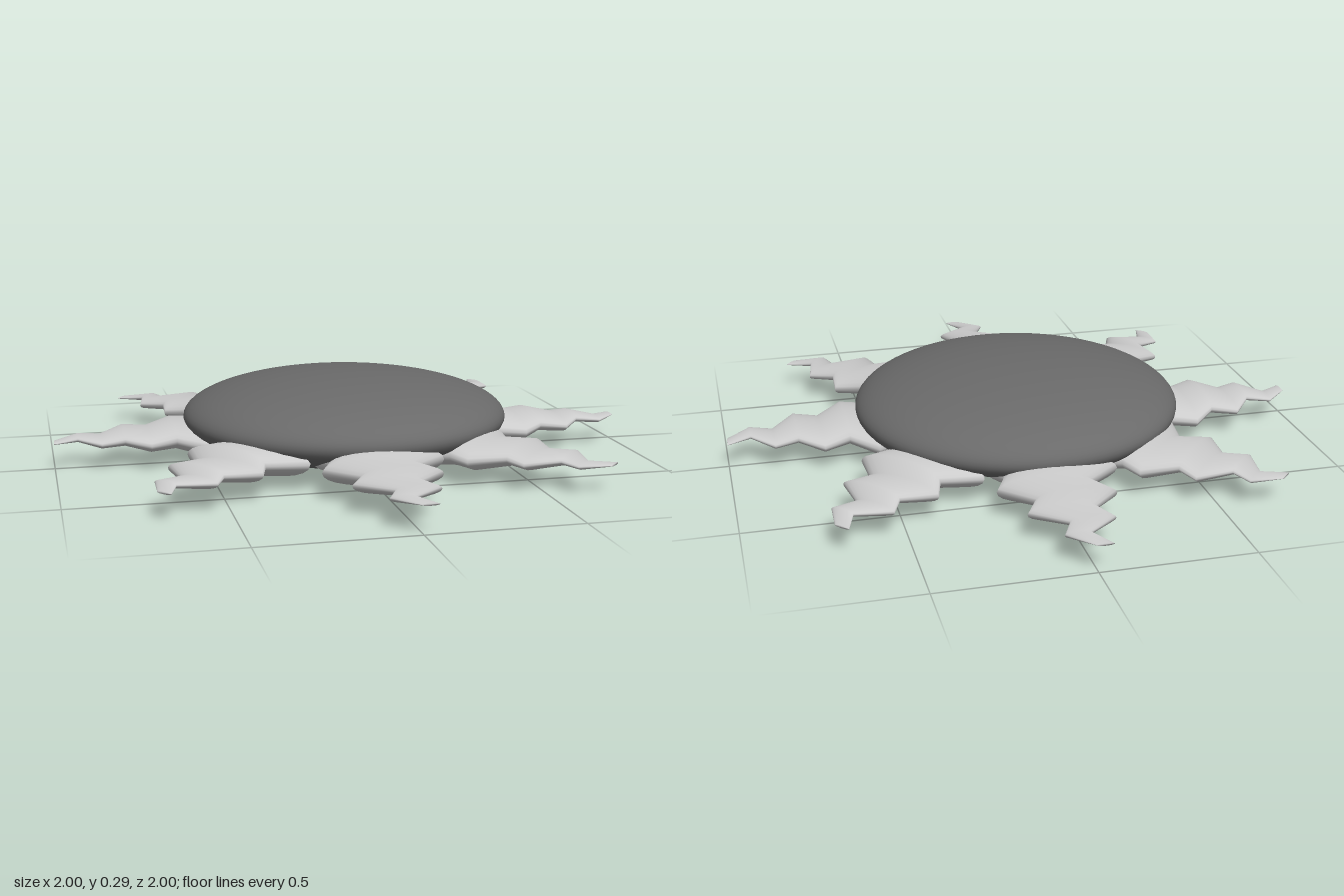
import * as THREE from 'three';

// Zigzag ray along +x, lofted through flattened oval sections.
function rayGeometry(sides = 24) {
  // [distance from centre, sideways offset, half width], root buried in the body
  const sections = [
    [0.38, 0.0, 0.17], [0.44, 0.04, 0.19], [0.51, 0.0, 0.19], [0.595, 0.075, 0.155],
    [0.685, -0.002, 0.133], [0.765, 0.065, 0.11], [0.845, -0.008, 0.073],
    [0.92, 0.06, 0.042], [1.0, 0.0, 0.027],
  ];
  const positions = [], indices = [];
  sections.forEach(([r, offset, half], i) => {
    // height tapers evenly to a thin tip
    const height = Math.min(0.004 + 0.104 * (1 - r), 0.055);
    for (let j = 0; j < sides; j++) {
      const a = (j / sides) * Math.PI * 2;
      positions.push(r, 0.09 + height * Math.sin(a), offset + half * Math.cos(a));
      if (i === sections.length - 1) continue;
      const k = (j + 1) % sides;
      const p = i * sides + j, q = i * sides + k;
      indices.push(p, p + sides, q, q, p + sides, q + sides);
    }
  });
  // close both ends
  const last = (sections.length - 1) * sides;
  for (let j = 1; j < sides - 1; j++) {
    indices.push(0, j, j + 1, last, last + j + 1, last + j);
  }
  const geometry = new THREE.BufferGeometry();
  geometry.setAttribute('position', new THREE.Float32BufferAttribute(positions, 3));
  geometry.setIndex(indices);
  geometry.computeVertexNormals();
  return geometry;
}

export function createModel() {
  const model = new THREE.Group();
  model.name = 'sunDisc';

  // Flattened round body
  const bodyGeometry = new THREE.SphereGeometry(1, 64, 40);
  bodyGeometry.scale(0.56, 0.145, 0.56);
  const body = new THREE.Mesh(bodyGeometry, new THREE.MeshStandardMaterial({ color: 0x6a6a6a }));
  body.name = 'body';
  body.position.y = 0.145;
  model.add(body);

  // Eight zigzag rays around the rim, some set slightly to one side
  const geometry = rayGeometry();
  const material = new THREE.MeshStandardMaterial({ color: 0xcccccc, side: THREE.DoubleSide });
  const shifts = [0, 0, 0.02, 0.012];
  for (let i = 0; i < 8; i++) {
    const ray = new THREE.Mesh(geometry, material);
    ray.name = `ray${i + 1}`;
    ray.rotation.y = (i * Math.PI) / 4;
    ray.translateZ(-shifts[i % 4]);
    model.add(ray);
  }
  return model;
}
